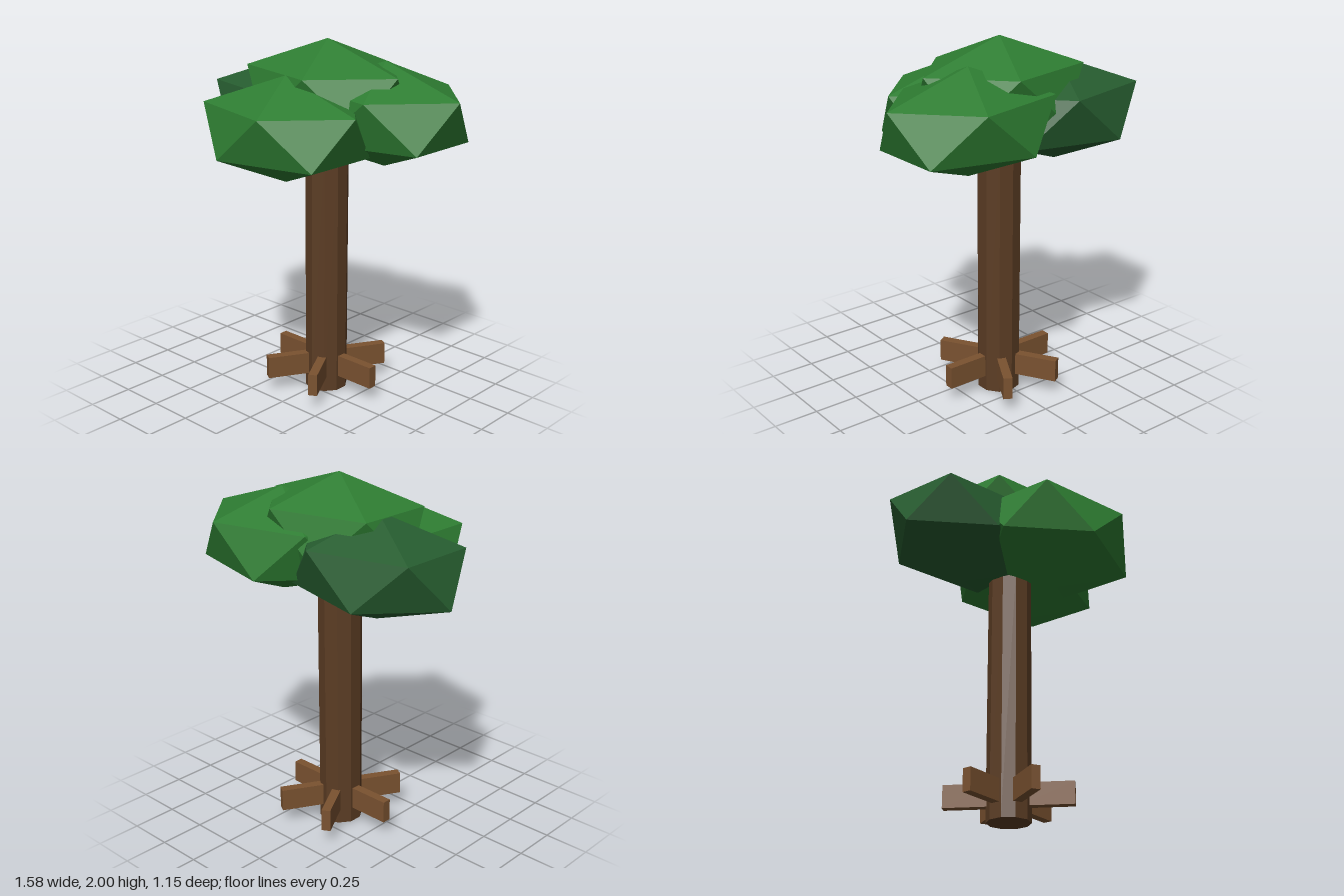
import * as THREE from 'three';

const CX = 0.013, CZ = -0.1; // trunk axis

const flat = (color) => new THREE.MeshStandardMaterial({ color, flatShading: true });

function add(parent, name, geometry, material) {
  const mesh = new THREE.Mesh(geometry, material);
  mesh.name = name;
  parent.add(mesh);
  return mesh;
}

// Icosahedron standing on a corner, one upper-ring corner pointing to +x
function leafGeometry() {
  const g = new THREE.IcosahedronGeometry(1, 0);
  g.rotateX(-Math.atan((1 + Math.sqrt(5)) / 2));
  g.rotateY(Math.PI / 2);
  g.scale(0.535, 0.2825, 0.415);
  return g;
}

export function createModel() {
  const tree = new THREE.Group();
  tree.name = 'tree';

  const bark = flat(0x5c3d24);
  const rootWood = flat(0x7a5230);
  const leaf = flat(0x2e7d32);
  const darkLeaf = flat(0x265c2f);

  // Ten-sided trunk
  const height = 1.42;
  add(tree, 'trunk', new THREE.CylinderGeometry(0.12, 0.12, height, 10), bark)
    .position.set(CX, height / 2, CZ);

  // Six root planks radiating from the trunk
  const roots = new THREE.Group();
  roots.name = 'roots';
  roots.position.set(CX, 0.147, CZ);
  const plank = new THREE.BoxGeometry(0.29, 0.125, 0.05);
  plank.translate(0.204, 0, 0);
  for (let i = 0; i < 6; i++) {
    add(roots, 'root', plank, rootWood).rotation.y = (i * Math.PI) / 3;
  }
  tree.add(roots);

  // Four overlapping leaf clusters
  const clusterShape = leafGeometry();
  const clusters = [
    ['topLeaves', CX, 1.7175, CZ, leaf],
    ['frontLeaves', CX, 1.5625, 0.22, leaf],
    ['rightLeaves', -0.313, 1.583, -0.17, darkLeaf],
    ['leftLeaves', 0.31, 1.617, -0.225, leaf],
  ];
  for (const [name, x, y, z, material] of clusters) {
    add(tree, name, clusterShape, material).position.set(x, y, z);
  }

  return tree;
}
